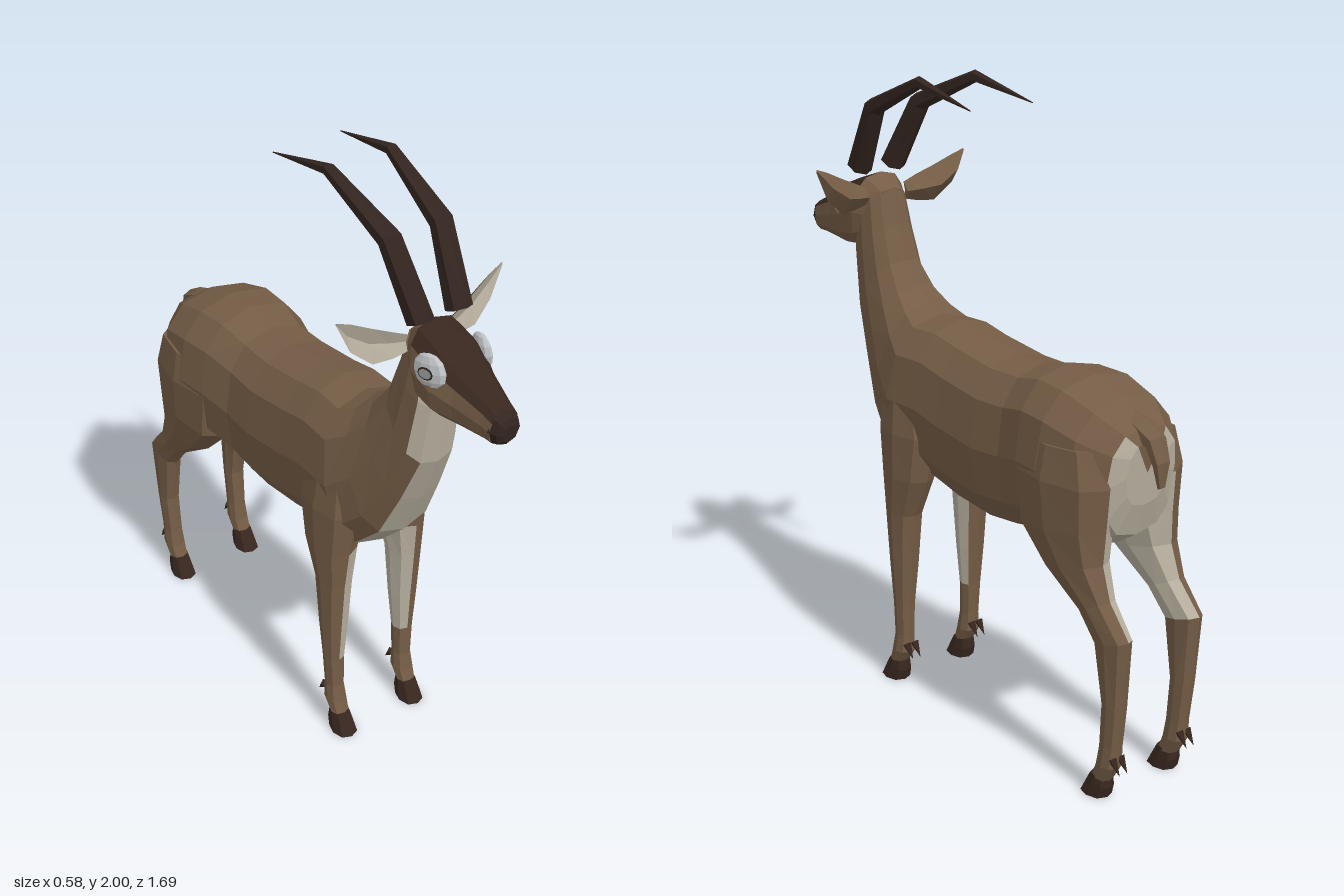
import * as THREE from 'three';

const names = ['brown', 'darkBrown', 'cream', 'horn', 'eyePatch', 'iris'];
const hexes = [0x755d46, 0x38271f, 0xb8b09f, 0x33251f, 0xc2c5c8, 0x9a9fa4];
const BROWN = 0, DARK = 1, CREAM = 2, HORN = 3, PATCH = 4, IRIS = 5;

// Ring of n points between two (z, y) points, w wide to each side of x = cx
function ring([z1, y1, z2, y2, w, cx = 0], n, power) {
  const soft = (v) => Math.sign(v) * Math.abs(v) ** power;
  return Array.from({ length: n }, (_, j) => {
    const a = (j / n) * Math.PI * 2;
    const c = soft(Math.cos(a)) / 2;
    const x = j === 0 || j * 2 === n ? 0 : soft(Math.sin(a)) * w;
    return [cx + x, (y1 + y2) / 2 + (y1 - y2) * c, (z1 + z2) / 2 + (z1 - z2) * c];
  });
}

// Capped skin over rings; colour(i, j) picks the material of each panel
function skin(rings, colour, side = 1) {
  const buckets = names.map(() => []);
  const tri = (m, a, b, c) => {
    for (const p of side > 0 ? [a, b, c] : [a, c, b]) buckets[m].push(p[0] * side, p[1], p[2]);
  };
  const n = rings[0].length;
  const last = rings.length - 1;
  const centre = (r) => [0, 1, 2].map((k) => r.reduce((s, p) => s + p[k], 0) / n);
  const start = centre(rings[0]);
  const end = centre(rings[last]);
  for (let j = 0; j < n; j++) {
    const k = (j + 1) % n;
    for (let i = 0; i < last; i++) {
      const a = rings[i][j], b = rings[i][k], c = rings[i + 1][k], d = rings[i + 1][j];
      tri(colour(i, j), a, d, c);
      tri(colour(i, j), a, c, b);
    }
    tri(colour(0, j), start, rings[0][j], rings[0][k]);
    tri(colour(last - 1, j), end, rings[last][k], rings[last][j]);
  }
  const geometry = new THREE.BufferGeometry();
  geometry.setAttribute('position', new THREE.Float32BufferAttribute(buckets.flat(), 3));
  let offset = 0;
  buckets.forEach((b, m) => {
    if (b.length) geometry.addGroup(offset, b.length / 3, m);
    offset += b.length / 3;
  });
  geometry.computeVertexNormals();
  return geometry;
}

export function createModel() {
  const model = new THREE.Group();
  model.name = 'antelope';
  const mats = hexes.map((color, i) => {
    const m = new THREE.MeshStandardMaterial({ color, flatShading: true });
    m.name = names[i];
    return m;
  });
  const add = (name, geometry, material = mats) => {
    const mesh = new THREE.Mesh(geometry, material);
    mesh.name = name;
    model.add(mesh);
    return mesh;
  };
  const loft = (name, rows, colour, { n = 8, power = 0.85, side = 1 } = {}) =>
    add(name, skin(rows.map((r) => ring(r, n, power)), colour, side));

  // Trunk and neck, rump to throat: top z, y, bottom z, y, half width
  loft('body', [
    [-0.76, 1.08, -0.74, 0.88, 0.08],
    [-0.74, 1.12, -0.71, 0.78, 0.135],
    [-0.65, 1.18, -0.63, 0.73, 0.205],
    [-0.525, 1.22, -0.5, 0.72, 0.22],
    [-0.41, 1.225, -0.41, 0.71, 0.205],
    [-0.3, 1.2, -0.3, 0.685, 0.18],
    [-0.18, 1.2, -0.18, 0.675, 0.185],
    [0, 1.225, -0.02, 0.69, 0.18],
    [0.1, 1.245, 0.11, 0.72, 0.18],
    [0.2, 1.24, 0.29, 0.73, 0.185],
    [0.26, 1.265, 0.4, 0.84, 0.155],
    [0.32, 1.305, 0.48, 1.01, 0.125],
    [0.38, 1.38, 0.55, 1.18, 0.1],
    [0.42, 1.49, 0.58, 1.39, 0.088],
    [0.45, 1.6, 0.57, 1.47, 0.078],
  ], (i, j) => {
    if (i === 0) return j > 0 && j < 11 ? CREAM : BROWN;
    if (i === 1 && j > 2 && j < 9) return CREAM;
    if (i >= 12 && j > 3 && j < 8) return CREAM;
    return j === 5 || j === 6 ? CREAM : BROWN;
  }, { n: 12, power: 0.8 });

  // Head with dark face and pale chin
  loft('head', [
    [0.45, 1.6, 0.5, 1.43, 0.065],
    [0.51, 1.645, 0.56, 1.395, 0.1],
    [0.615, 1.61, 0.62, 1.393, 0.105],
    [0.69, 1.565, 0.69, 1.395, 0.078],
    [0.79, 1.522, 0.78, 1.4, 0.055],
    [0.825, 1.505, 0.815, 1.4, 0.05],
  ], (i, j) => {
    if (i > 0 && (j < 2 || j > 9)) return DARK;
    return j === 5 || j === 6 ? CREAM : BROWN;
  }, { n: 12, power: 0.8 });
  loft('nose', [
    [0.82, 1.51, 0.81, 1.4, 0.052],
    [0.845, 1.495, 0.835, 1.405, 0.042],
    [0.852, 1.475, 0.847, 1.42, 0.025],
  ], () => HORN);

  // Tail, tip to root
  loft('tail', [
    [-0.815, 0.955, -0.8, 0.945, 0.012],
    [-0.82, 1.03, -0.79, 1.01, 0.028],
    [-0.795, 1.1, -0.765, 1.06, 0.035],
    [-0.73, 1.14, -0.71, 1.07, 0.04],
    [-0.64, 1.17, -0.64, 1.1, 0.04],
  ], () => BROWN, { n: 6 });

  // Legs, top to fetlock: front z, y, back z, y, half width, centre x
  const hind = [
    [-0.4, 1.05, -0.7, 1.06, 0.075, 0.135],
    [-0.36, 0.95, -0.735, 0.95, 0.1, 0.128],
    [-0.39, 0.78, -0.725, 0.82, 0.09, 0.13],
    [-0.5, 0.67, -0.72, 0.72, 0.068, 0.135],
    [-0.645, 0.57, -0.755, 0.62, 0.045, 0.137],
    [-0.71, 0.49, -0.84, 0.525, 0.038, 0.14],
    [-0.745, 0.31, -0.82, 0.31, 0.033, 0.137],
    [-0.735, 0.17, -0.805, 0.18, 0.03, 0.135],
    [-0.725, 0.11, -0.8, 0.11, 0.034, 0.135],
    [-0.705, 0.06, -0.77, 0.06, 0.03, 0.135],
  ];
  const fore = [
    [0.31, 1.02, 0.11, 1.02, 0.06, 0.12],
    [0.32, 0.88, 0.08, 0.88, 0.075, 0.122],
    [0.3, 0.73, 0.11, 0.73, 0.065, 0.13],
    [0.285, 0.6, 0.165, 0.6, 0.052, 0.135],
    [0.27, 0.42, 0.182, 0.42, 0.044, 0.136],
    [0.26, 0.28, 0.195, 0.28, 0.033, 0.137],
    [0.26, 0.17, 0.2, 0.17, 0.029, 0.135],
    [0.272, 0.11, 0.2, 0.11, 0.034, 0.135],
    [0.288, 0.06, 0.235, 0.06, 0.03, 0.135],
  ];
  for (const side of [1, -1]) {
    const label = side > 0 ? 'left' : 'right';
    loft(label + 'HindLeg', hind,
      (i, j) => (i > 0 && i < 5 && j > 3 && j < 7 ? CREAM : BROWN), { side });
    loft(label + 'ForeLeg', fore,
      (i, j) => (i > 1 && i < 5 && j > 4 ? CREAM : BROWN), { side });

    // Hooves and dewclaws
    for (const [name, z] of [['Hind', -0.73], ['Fore', 0.262]]) {
      loft(label + name + 'Hoof', [
        [z + 0.03, 0.07, z - 0.035, 0.07, 0.031, 0.135],
        [z + 0.05, 0.035, z - 0.04, 0.035, 0.036, 0.135],
        [z + 0.068, 0, z - 0.03, 0, 0.04, 0.135],
      ], () => DARK, { side });
      for (const dx of [-0.015, 0.015]) {
        const claw = add(label + name + 'Dewclaw', new THREE.ConeGeometry(0.014, 0.055, 5), mats[DARK]);
        claw.position.set(side * (0.135 + dx), 0.122, z - 0.08);
        claw.rotation.x = -2.5;
      }
    }

    // Swept-back horns
    loft(label + 'Horn', [
      [0.497, 1.645, 0.57, 1.68, 0.037, 0.066],
      [0.395, 1.85, 0.435, 1.897, 0.034, 0.088],
      [0.155, 1.962, 0.16, 2, 0.018, 0.107],
      [-0.098, 1.929, -0.098, 1.932, 0.002, 0.118],
    ], () => HORN, { n: 6, side });

    // Cupped ears: x, upper y, lower y, z, cup depth
    const ear = [
      [0.075, 1.605, 1.55, 0.49, 0.015],
      [0.12, 1.625, 1.54, 0.485, 0.025],
      [0.18, 1.65, 1.535, 0.47, 0.03],
      [0.245, 1.68, 1.59, 0.455, 0.022],
      [0.288, 1.695, 1.685, 0.45, 0.003],
    ].map(([x, u, l, z, d]) => {
      const m = (u + l) / 2;
      return [[x, u, z], [x, m, z - d * 1.5], [x, l, z], [x, m, z - d * 0.6]];
    });
    add(label + 'Ear', skin(ear, (i, j) => (j < 2 ? BROWN : CREAM), side));

    // Pale eye patch with iris and dark rim
    const eye = new THREE.Group();
    eye.name = label + 'Eye';
    eye.position.set(side * 0.09, 1.555, 0.61);
    eye.rotation.set(-0.18, side * (Math.PI / 2 - 0.22), 0);
    const piece = (name, geometry, m, sx, sy, sz, z) => {
      const mesh = new THREE.Mesh(geometry, mats[m]);
      mesh.name = name;
      mesh.scale.set(sx, sy, sz);
      mesh.position.z = z;
      eye.add(mesh);
    };
    piece('eyePatch', new THREE.SphereGeometry(1, 10, 6), PATCH, 0.058, 0.054, 0.02, 0);
    piece('eyeRim', new THREE.CircleGeometry(1, 10), DARK, 0.027, 0.02, 1, 0.021);
    piece('iris', new THREE.CircleGeometry(1, 10), IRIS, 0.022, 0.015, 1, 0.023);
    model.add(eye);
  }
  return model;
}
